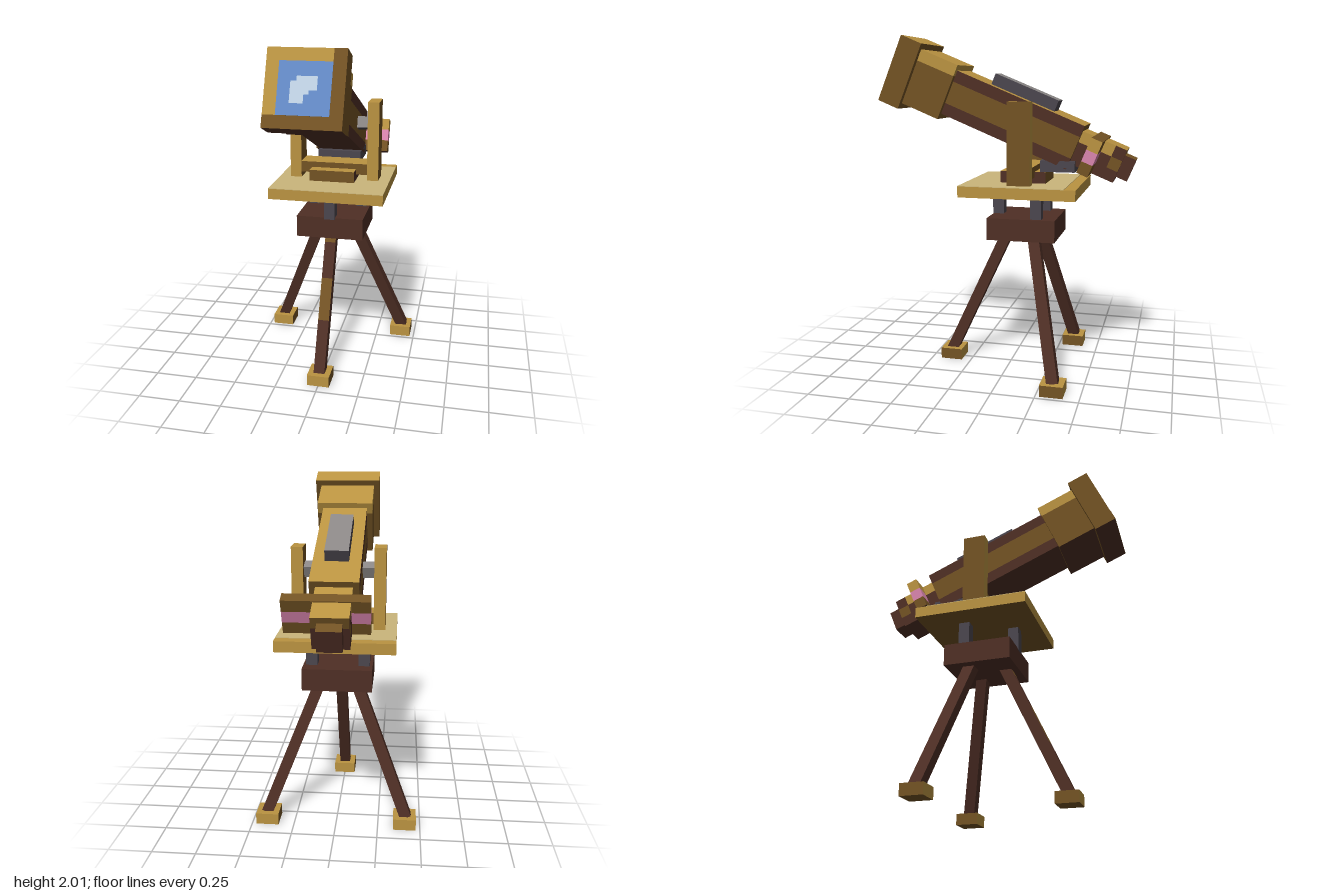
import * as THREE from 'three';

const paint = (name, color) => {
  const m = new THREE.MeshStandardMaterial({ color });
  m.name = name;
  return m;
};

export function createModel() {
  const gold = paint('gold', 0xba9341);
  const tan = paint('paleGold', 0xcbb67b);
  const brown = paint('bronze', 0x735324);
  const dark = paint('darkWood', 0x4f2f25);
  const iron = paint('iron', 0x4b464e);
  const steel = paint('steel', 0x8b8786);
  const pink = paint('pink', 0xd985ae);
  const blue = paint('glass', 0x648ac6);
  const shine = paint('glassShine', 0xbfd1e3);

  const model = new THREE.Group();
  model.name = 'telescope';

  // Box from min/max ranges; mats is one material or [+x, -x, +y, -y, +z, -z]
  const box = (parent, name, [x0, x1], [y0, y1], [z0, z1], mats) => {
    const mesh = new THREE.Mesh(new THREE.BoxGeometry(x1 - x0, y1 - y0, z1 - z0), mats);
    mesh.position.set((x0 + x1) / 2, (y0 + y1) / 2, (z0 + z1) / 2);
    mesh.name = name;
    parent.add(mesh);
    return mesh;
  };
  const sym = (v) => [-v, v];

  // Tripod: legs, feet and posts share three corners
  const tripod = new THREE.Group();
  tripod.name = 'tripod';
  model.add(tripod);
  const leg = (name, foot, top, parts) => {
    const a = new THREE.Vector3(...foot), b = new THREE.Vector3(...top);
    const dir = b.clone().sub(a), len = dir.length();
    const g = new THREE.Group();
    g.name = name;
    g.position.copy(a);
    g.quaternion.setFromUnitVectors(new THREE.Vector3(0, 1, 0), dir.normalize());
    for (const [f0, f1, mats] of parts) {
      box(g, name + 'Section', sym(0.033), [f0 * len, f1 * len], sym(0.033), mats);
    }
    tripod.add(g);
  };
  const banded = [dark, dark, dark, dark, brown, dark];
  leg('frontLeg', [0, 0.055, 0.38], [0, 0.85, 0.01],
    [[0, 0.36, dark], [0.36, 0.65, banded], [0.65, 0.9, dark], [0.9, 1, banded]]);
  for (const s of [-1, 1]) {
    leg('backLeg', [s * 0.415, 0.055, -0.342], [s * 0.1, 0.85, -0.16], [[0, 1, dark]]);
  }
  const footMats = [brown, brown, gold, brown, gold, gold];
  for (const [x, z, px, pz] of [[0, 0.374, 0, 0.072], [-0.408, -0.34, -0.152, -0.188], [0.408, -0.34, 0.152, -0.188]]) {
    box(tripod, 'foot', [x - 0.067, x + 0.067], [0, 0.067], [z - 0.067, z + 0.067], footMats);
    box(tripod, 'post', [px - 0.033, px + 0.033], [0.94, 1.1], [pz - 0.033, pz + 0.033], iron);
  }
  box(tripod, 'hub', sym(0.202), [0.82, 0.95], [-0.303, 0.101], dark);

  // Platform with pale top and a gold strip along the back
  box(model, 'platform', sym(0.337), [1.09, 1.153], [-0.44, 0.235], [gold, gold, gold, brown, gold, gold]);
  box(model, 'platformTop', sym(0.337), [1.153, 1.156], [-0.375, 0.235], tan);

  // Mount
  box(model, 'mountBase', sym(0.135), [1.156, 1.223], [-0.236, 0.034], [dark, dark, gold, dark, brown, brown]);
  box(model, 'mountCrossPiece', sym(0.202), [1.19, 1.256], [-0.171, -0.036], [brown, brown, gold, brown, brown, brown]);
  for (const s of [-1, 1]) {
    const x = s * 0.236;
    box(model, 'pillar', [x - 0.034, x + 0.034], [1.156, 1.63], [-0.171, -0.036], [brown, brown, gold, brown, gold, gold]);
  }
  box(model, 'counterweight', sym(0.135), [1.225, 1.29], [-0.405, -0.202], iron);

  // Tilted tube: local +z runs along the barrel, the front face is at z = 0
  const tube = new THREE.Group();
  tube.name = 'tube';
  tube.position.set(0, 1.818, 0.682);
  tube.rotation.x = -Math.PI / 8;
  model.add(tube);

  // Lens hood with split frame colours and a glass plate
  box(tube, 'lensHood', sym(0.202), sym(0.202), [-0.13, 0], [brown, brown, gold, dark, gold, brown]);
  box(tube, 'frameSide', [0.135, 0.202], sym(0.202), [0, 0.002], brown);
  box(tube, 'frameBottom', [-0.202, 0.135], [-0.202, -0.135], [0, 0.002], brown);
  box(tube, 'lens', sym(0.135), sym(0.135), [0, 0.003], blue);
  const glint = new THREE.Shape([
    [-0.07, -0.075], [0, -0.075], [0, -0.03], [0.025, -0.03], [0.025, -0.01], [0.065, -0.01],
    [0.065, 0.06], [-0.04, 0.06], [-0.04, 0.035], [-0.07, 0.035],
  ].map(([x, y]) => new THREE.Vector2(x, y)));
  const glintMesh = new THREE.Mesh(new THREE.ShapeGeometry(glint), shine);
  glintMesh.name = 'lensGlint';
  glintMesh.position.z = 0.006;
  tube.add(glintMesh);

  // Front barrel and main barrel, stacked in coloured bands
  box(tube, 'frontBarrelTop', sym(0.168), [0.1, 0.168], [-0.368, -0.13], gold);
  box(tube, 'frontBarrel', sym(0.168), [-0.168, 0.1], [-0.368, -0.13], [brown, brown, brown, dark, brown, brown]);
  box(tube, 'barrelTop', sym(0.135), [0.067, 0.135], [-1.178, -0.368], [dark, dark, gold, dark, dark, brown]);
  box(tube, 'barrelMiddle', sym(0.135), [-0.067, 0.067], [-1.178, -0.368], brown);
  box(tube, 'barrelBottom', sym(0.135), [-0.135, -0.067], [-1.178, -0.368], dark);
  box(tube, 'topRail', sym(0.067), [0.135, 0.202], [-0.976, -0.57], [iron, iron, steel, iron, iron, iron]);
  for (const s of [-1, 1]) {
    const x = s * 0.168;
    box(tube, 'pivot', [x - 0.036, x + 0.036], [-0.034, 0.034], [-0.882, -0.814], [steel, steel, steel, iron, steel, steel]);
  }

  // Eyepiece block in three rows
  box(tube, 'eyepieceTop', sym(0.101), [0.034, 0.101], [-1.382, -1.178], gold);
  box(tube, 'eyepieceTopEnd', sym(0.101), [0.034, 0.101], [-1.45, -1.382], [dark, dark, gold, dark, dark, brown]);
  box(tube, 'eyepieceMiddle', sym(0.101), [-0.034, 0.034], [-1.382, -1.178], dark);
  box(tube, 'eyepieceMiddleEnd', sym(0.101), [-0.034, 0.034], [-1.45, -1.382], [brown, brown, dark, dark, dark, dark]);
  box(tube, 'eyepieceBottom', sym(0.101), [-0.101, -0.034], [-1.45, -1.178], dark);
  box(tube, 'eyecup', sym(0.067), sym(0.067), [-1.519, -1.45], [dark, dark, brown, dark, dark, dark]);

  // Banded crossbar around the eyepiece, longer on one side
  const bar = [-0.202, 0.27], barZ = [-1.317, -1.25];
  box(tube, 'crossbarTop', bar, [0.036, 0.107], barZ, [gold, gold, brown, brown, gold, brown]);
  box(tube, 'crossbarMiddle', bar, [-0.034, 0.036], barZ, pink);
  box(tube, 'crossbarBottom', bar, [-0.104, -0.034], barZ, [brown, brown, brown, dark, brown, brown]);

  return model;
}
